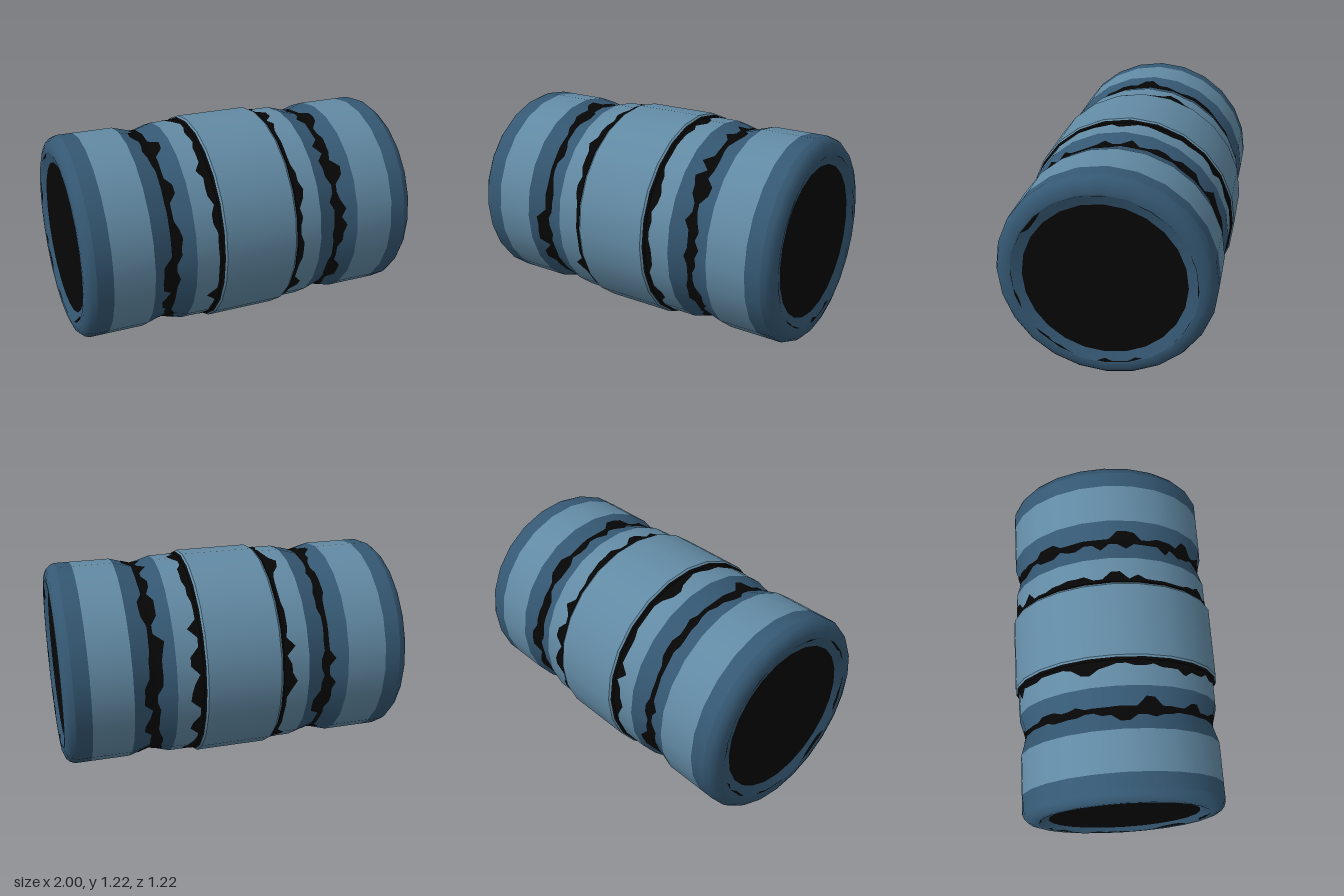
import * as THREE from 'three';

const SIDES = 24, CENTER_Y = 0.61, COLUMNS = 72;

// small seeded generator for the chipped paint edges
function seeded(seed) {
  return () => {
    seed = (seed * 16807) % 2147483647;
    return seed / 2147483647;
  };
}

// surface turned around the x axis; profile is [x, radius] with x rising
function turned(profile) {
  const geo = new THREE.LatheGeometry(profile.map(([x, r]) => new THREE.Vector2(r, x)), SIDES);
  return geo.rotateZ(-Math.PI / 2);
}

// chipped strip hugging the faceted drum; columnAt(i) gives its [x, radius] points
function chippedStrip(columnAt) {
  const pos = [], idx = [], step = (2 * Math.PI) / SIDES;
  let n = 0;
  for (let i = 0; i <= COLUMNS; i++) {
    const a = (i / COLUMNS) * 2 * Math.PI;
    const facet = Math.cos(step / 2) / Math.cos((a % step) - step / 2);
    const points = columnAt(i % COLUMNS);
    n = points.length;
    for (const [x, r] of points) {
      pos.push(x, r * facet * Math.cos(a), r * facet * Math.sin(a));
    }
  }
  for (let i = 0; i < COLUMNS; i++) {
    for (let j = 0; j < n - 1; j++) {
      const p = i * n + j, q = p + n;
      idx.push(p, p + 1, q, q, p + 1, q + 1);
    }
  }
  const geo = new THREE.BufferGeometry();
  geo.setAttribute('position', new THREE.Float32BufferAttribute(pos, 3));
  geo.setIndex(idx);
  geo.computeVertexNormals();
  return geo;
}

export function createModel() {
  const group = new THREE.Group();
  const lightBlue = new THREE.MeshStandardMaterial({ color: 0x628aa4 });
  lightBlue.name = 'light blue paint';
  const darkBlue = new THREE.MeshStandardMaterial({ color: 0x355873 });
  darkBlue.name = 'dark blue paint';
  const black = new THREE.MeshStandardMaterial({ color: 0x060606, side: THREE.DoubleSide });
  black.name = 'black';

  const add = (name, geo, mat) => {
    const mesh = new THREE.Mesh(geo, mat);
    mesh.name = name;
    mesh.position.y = CENTER_Y;
    group.add(mesh);
  };

  // raised middle band
  add('middleBand', turned([[-0.21, 0.61], [0.21, 0.61]]), lightBlue);

  for (const s of [1, -1]) {
    const side = s > 0 ? 'left' : 'right';
    const ring = (name, profile, mat) => {
      const p = profile.map(([x, r]) => [s * x, r]);
      add(side + name, turned(s > 0 ? p : p.reverse()), mat);
    };

    // drum body, from the middle band outwards
    ring('BandEdge', [[0.21, 0.61], [0.22, 0.603]], lightBlue);
    ring('BandStep', [[0.22, 0.603], [0.235, 0.59]], black);
    ring('InnerRing', [[0.235, 0.59], [0.38, 0.59]], lightBlue);
    ring('GrooveInner', [[0.38, 0.59], [0.5, 0.555]], darkBlue);
    ring('GrooveOuter', [[0.5, 0.555], [0.62, 0.59]], darkBlue);
    ring('OuterRing', [[0.62, 0.59], [0.85, 0.59]], lightBlue);
    ring('RimSide', [[0.85, 0.59], [0.94, 0.59]], darkBlue);
    ring('RimRound', [[0.94, 0.59], [0.965, 0.579], [0.987, 0.559], [0.999, 0.525], [0.999, 0.5]], darkBlue);
    ring('EndSlope', [[0.999, 0.5], [0.978, 0.439]], darkBlue);

    // dark end disc, slightly sunk into the rim
    const disc = new THREE.CircleGeometry(0.439, SIDES).rotateY((s * Math.PI) / 2);
    disc.translate(s * 0.978, 0, 0);
    add(side + 'EndDisc', disc, black);

    // chipped paint: blocky chips one to three columns wide, with plain gaps between
    const rnd = seeded(s > 0 ? 4711 : 9173);
    const chips = (max) => {
      const sizes = [];
      while (sizes.length < COLUMNS) {
        const size = rnd() < 0.5 ? 0.005 * rnd() : max * (0.2 + 0.8 * rnd());
        const run = 1 + Math.floor(rnd() * 2.4);
        for (let k = 0; k < run; k++) sizes.push(size * (0.8 + 0.2 * rnd()));
      }
      return sizes;
    };
    const orient = (points) => {
      const p = points.map(([x, r]) => [s * x, r]);
      return s > 0 ? p.reverse() : p;
    };

    // chips in the groove, beside the band and on the end slope
    const inner = chips(0.065), outer = chips(0.065), band = chips(0.07), end = chips(0.025);
    const groove = (d) => [0.5 + d, 0.5575 + Math.abs(d) * 0.29];
    add(side + 'GrooveChips', chippedStrip((i) =>
      orient([groove(-0.013 - inner[i]), groove(0), groove(0.013 + outer[i])])), black);
    add(side + 'BandChips', chippedStrip((i) =>
      orient([[0.23, 0.592], [0.25 + band[i], 0.592]])), black);
    const slope = (r) => [1 - (0.5 - r) * 0.344, r];
    add(side + 'EndChips', chippedStrip((i) =>
      orient([slope(0.495 - (i % 9 < 5 ? end[i] : 0)), slope(0.495)])), black);
  }
  return group;
}
